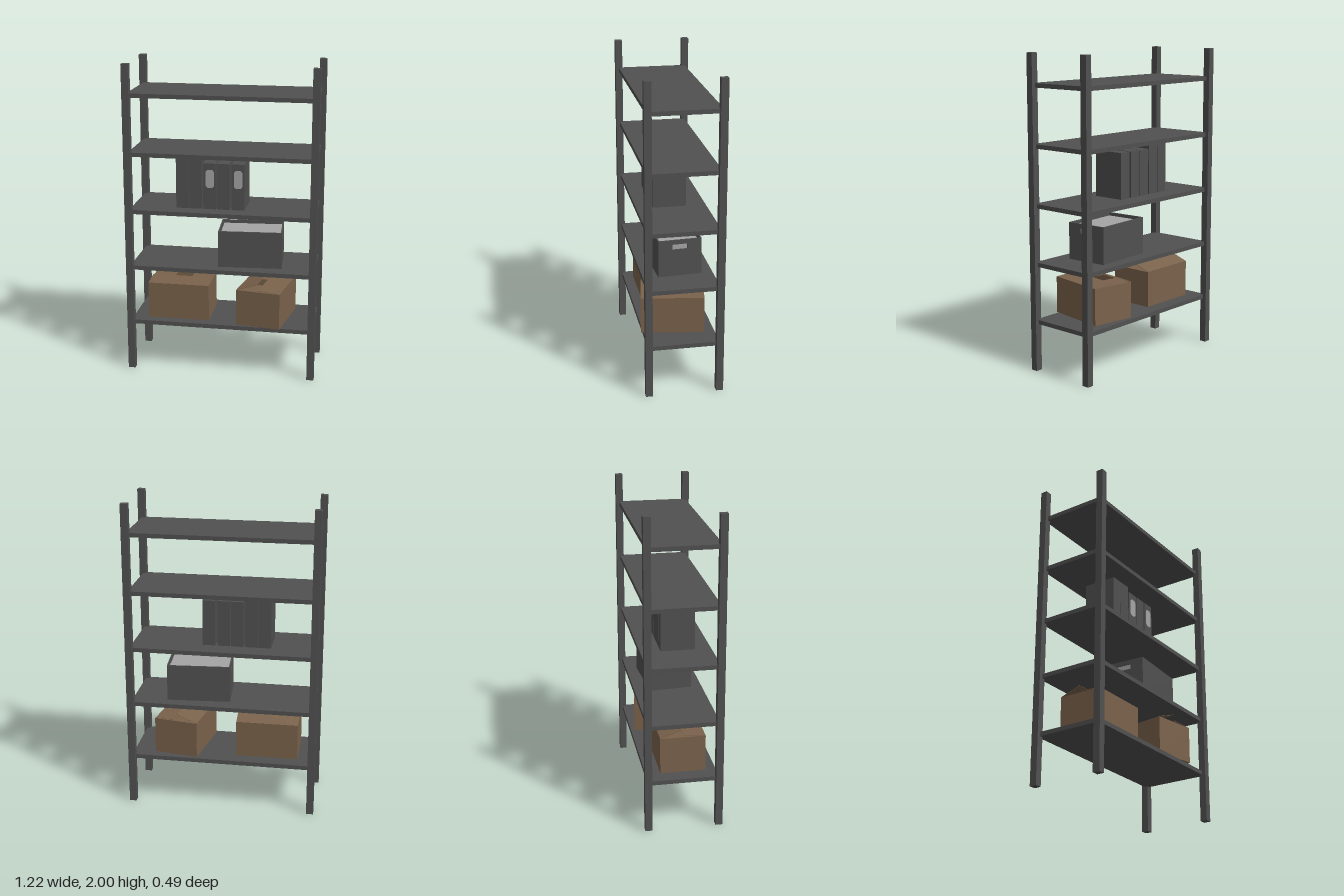
import * as THREE from 'three';

const mat = (name, color) => {
  const m = new THREE.MeshStandardMaterial({ color });
  m.name = name;
  return m;
};

export function createModel() {
  const grey = mat('darkGrey', 0x505050);
  const brown = mat('cardboardBrown', 0x7a624b);
  const pale = mat('paperGrey', 0xa4a4a4);
  const model = new THREE.Group();
  model.name = 'shelvingUnit';

  const add = (parent, name, geometry, material, x = 0, y = 0, z = 0) => {
    const mesh = new THREE.Mesh(geometry, material);
    mesh.name = name;
    mesh.position.set(x, y, z);
    parent.add(mesh);
    return mesh;
  };
  // Box placed by its centre in x and z and by its bottom in y
  const box = (parent, name, material, w, h, d, x, y, z) =>
    add(parent, name, new THREE.BoxGeometry(w, h, d), material, x, y + h / 2, z);

  // Frame: four posts and five shelves
  for (const x of [-0.587, 0.587])
    for (const z of [-0.223, 0.223]) box(model, 'post', grey, 0.045, 2, 0.045, x, 0, z);
  for (let i = 0; i < 5; i++)
    box(model, 'shelf', grey, 1.172, 0.027, 0.446, 0, 0.304 + i * 0.3715, 0);

  // Cardboard boxes with one raised and one nearly closed flap
  const cardboardBox = (name, x, z, turn) => {
    const g = new THREE.Group();
    g.name = name;
    g.position.set(x, 0.331, z);
    g.rotation.y = turn;
    model.add(g);
    const w = 0.287, d = 0.4, h = 0.236, t = 0.004;
    box(g, 'boxFloor', brown, w, t, d, 0, 0, 0);
    for (const s of [-1, 1]) {
      box(g, 'boxSide', brown, t, h, d, s * (w - t) / 2, 0, 0);
      box(g, 'boxEnd', brown, w, h, t, 0, 0, s * (d - t) / 2);
      box(g, 'innerFlap', brown, w - 2 * t, 0.002, w / 2, 0, h - 0.005, s * (d / 2 - w / 4));
      const hinge = new THREE.Group();
      hinge.name = 'flapHinge';
      hinge.position.set(s * w / 2, h, 0);
      hinge.rotation.z = s < 0 ? 0.34 : -0.07;
      g.add(hinge);
      box(hinge, 'outerFlap', brown, w / 2, 0.002, d, -s * w / 4, -0.001, 0);
    }
  };
  cardboardBox('leftCardboardBox', -0.287, 0.013, -Math.PI / 2);
  cardboardBox('rightCardboardBox', 0.2725, 0.02, -0.157);

  // Storage crate: open top, handle holes in the ends, paper inside
  const crate = new THREE.Group();
  crate.name = 'storageCrate';
  crate.position.set(0.168, 0.7, 0.002);
  crate.rotation.y = 0.07;
  model.add(crate);
  const W = 0.406, D = 0.277, H = 0.24, T = 0.008;
  box(crate, 'crateFloor', grey, W, T, D, 0, 0, 0);
  for (const s of [-1, 1]) box(crate, 'crateSide', grey, W, H, T, 0, 0, s * (D - T) / 2);
  const panel = new THREE.Shape();
  panel.moveTo(-D / 2, 0).lineTo(D / 2, 0).lineTo(D / 2, H).lineTo(-D / 2, H).closePath();
  const slot = new THREE.Path();
  slot.moveTo(-0.048, 0.177).lineTo(-0.048, 0.211).lineTo(0.048, 0.211).lineTo(0.048, 0.177).closePath();
  panel.holes.push(slot);
  const endGeometry = new THREE.ExtrudeGeometry(panel, { depth: T, bevelEnabled: false });
  endGeometry.translate(0, 0, -T / 2).rotateY(Math.PI / 2);
  for (const s of [-1, 1]) add(crate, 'crateEnd', endGeometry, grey, s * (W - T) / 2);
  box(crate, 'papers', pale, W - 0.026, 0.212, D - 0.026, 0, T, 0);

  // Row of binders, two of them with a label on the spine
  const label = new THREE.Shape();
  const a = 0.027, b = 0.058, c = 0.012;
  label.setFromPoints([[a, c - b], [a, b - c], [a - c, b], [c - a, b], [-a, b - c], [-a, c - b], [c - a, -b], [a - c, -b]]
    .map(([x, y]) => new THREE.Vector2(x, y)));
  const labelGeometry = new THREE.ExtrudeGeometry(label, { depth: 0.002, bevelEnabled: false });
  const binders = [
    [-0.261, 0.328, false], [-0.176, 0.328, false], [-0.086, 0.298, true],
    [0.001, 0.298, false], [0.096, 0.298, true],
  ];
  for (const [x, height, labelled] of binders) {
    box(model, 'binder', grey, 0.081, height, 0.215, x, 1.073, 0.012);
    if (labelled) add(model, 'binderLabel', labelGeometry, pale, x + 0.002, 1.272, 0.1195);
  }
  return model;
}
